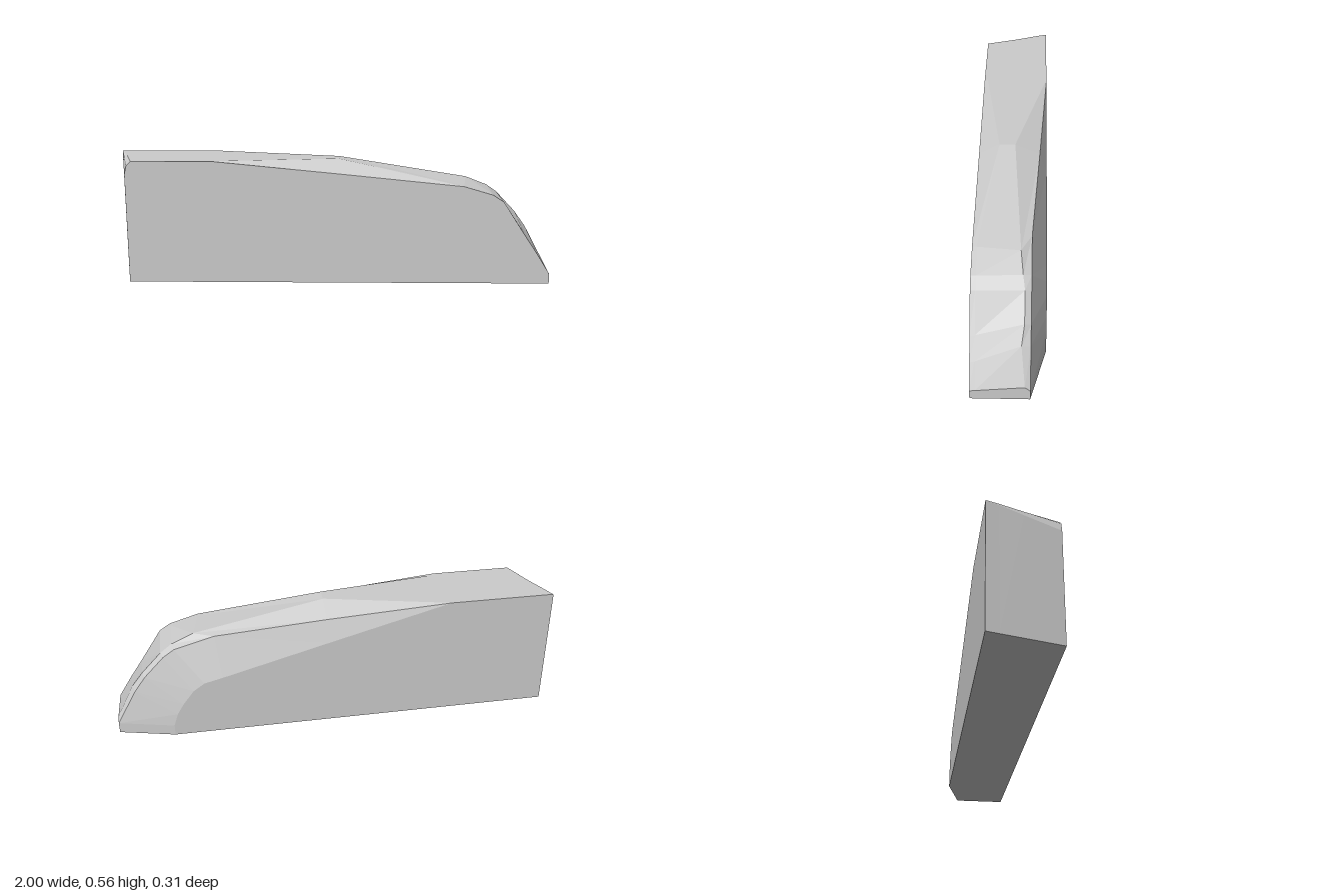
import * as THREE from 'three';

// Points of a profile, run from the base on the left, over the top, to the base on the right
const points = (list, z) => list.map(([x, y, pz = z]) => new THREE.Vector3(x, y, pz));

// Skins neighbouring profiles and closes both ends with fans
function loft(loops) {
  const pos = [];
  const tri = (...corners) => corners.forEach((p) => pos.push(p.x, p.y, p.z));
  const n = loops[0].length;
  for (let i = 0; i < n; i++) {
    const j = (i + 1) % n;
    for (let k = 0; k < loops.length - 1; k++) {
      const a = loops[k], b = loops[k + 1];
      tri(a[i], a[j], b[i]);
      tri(a[j], b[j], b[i]);
    }
  }
  const cap = (loop, front) => {
    const c = new THREE.Vector3(0, 0.2, loop[0].z);
    loop.forEach((p, i) => {
      const q = loop[(i + 1) % n];
      front ? tri(c, q, p) : tri(c, p, q);
    });
  };
  cap(loops[0], true);
  cap(loops[loops.length - 1], false);
  const geometry = new THREE.BufferGeometry();
  geometry.setAttribute('position', new THREE.Float32BufferAttribute(pos, 3));
  geometry.computeVertexNormals();
  return geometry;
}

export function createModel() {
  const group = new THREE.Group();
  group.name = 'wedgeBlock';

  // Flat front face, with a rounded upper left corner
  const front = points([
    [-0.92, 0], [-0.92, 0.5], [-0.91, 0.54], [-0.89, 0.56], [-0.52, 0.56], [0.04, 0.506],
    [0.6, 0.45], [0.73, 0.412], [0.78, 0.38], [0.88, 0.228], [0.94, 0.14], [1, 0.045], [1, 0],
  ], 0.153);

  // Highest line over the sloping nose
  const ridge = points([
    [-0.96, 0], [-0.96, 0.53], [-0.955, 0.55], [-0.94, 0.56], [-0.52, 0.56], [0.04, 0.56, -0.01],
    [0.63, 0.46, -0.045], [0.73, 0.42, -0.055], [0.78, 0.385, -0.063], [0.87, 0.29, -0.063],
    [0.92, 0.22, -0.052], [1, 0.07, -0.067], [1, 0, -0.067],
  ], 0);

  // Front edge of the flat top, pulled back to a single peak
  const shoulder = front.map((p, i) => p.clone().lerp(ridge[i], 0.1));
  shoulder[5].set(0.04, 0.56, 0.06);

  // Crease where the nose turns into the rear chamfer
  const crease = points([
    [-0.986, 0], [-0.986, 0.55], [-0.984, 0.557], [-0.978, 0.56], [-0.52, 0.56, -0.152],
    [0.04, 0.512, -0.12], [0.54, 0.46], [0.72, 0.41], [0.77, 0.375], [0.86, 0.28],
    [0.91, 0.21], [1, 0.05], [1, 0],
  ], -0.089);
  for (let i = 0; i < 4; i++) crease[i].z = -0.1;

  // Flat back face, shorter and lower towards the nose
  const back = points([
    [-1, 0], [-1, 0.556], [-0.999, 0.559], [-0.995, 0.56], [-0.52, 0.56], [0.04, 0.41],
    [0.52, 0.28], [0.6, 0.26], [0.65, 0.225], [0.7, 0.16], [0.73, 0.11], [0.75, 0.05], [0.75, 0],
  ], -0.153);

  const body = new THREE.Mesh(
    loft([front, shoulder, ridge, crease, back]),
    new THREE.MeshStandardMaterial({ color: 0xcccccc, flatShading: true }),
  );
  body.name = 'body';
  group.add(body);
  return group;
}
